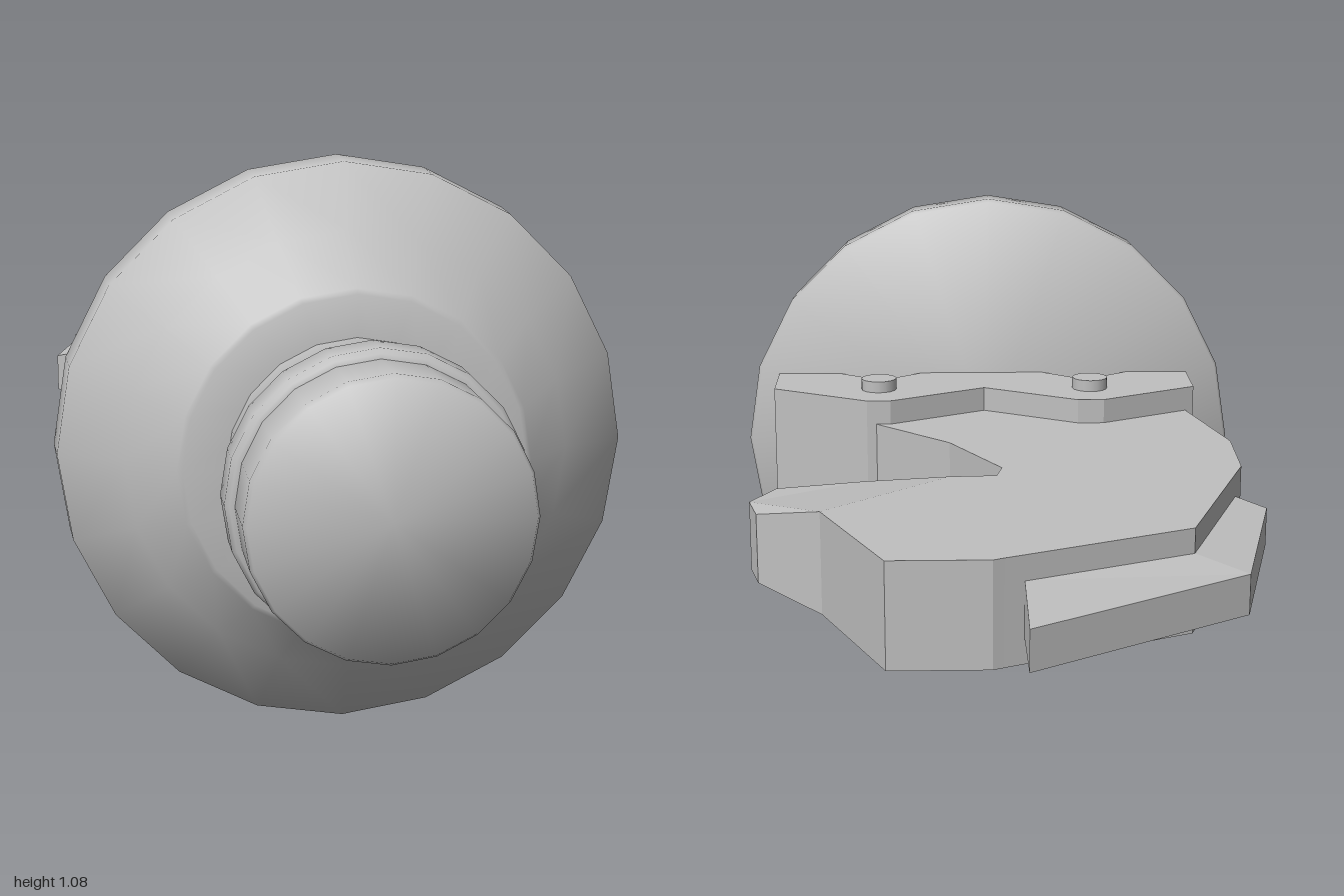
import * as THREE from 'three';
import { toCreasedNormals } from 'three/addons/utils/BufferGeometryUtils.js';

const MID = 0.545; // height of the central axis
const metal = new THREE.MeshStandardMaterial({ color: 0xc0c0c0 });
metal.name = 'grey metal';

// Flat slab from an [x, z] outline; halfAt gives half its thickness at each corner
function slab(name, outline, halfAt, y = MID) {
  const shape = new THREE.Shape(outline.map(([x, z]) => new THREE.Vector2(x, z)));
  const geo = new THREE.ExtrudeGeometry(shape, { depth: 2, bevelEnabled: false });
  geo.translate(0, 0, -1);
  geo.rotateX(Math.PI / 2);
  const p = geo.attributes.position;
  for (let i = 0; i < p.count; i++) {
    p.setY(i, y + p.getY(i) * halfAt(p.getX(i), p.getZ(i)));
  }
  geo.computeVertexNormals();
  const mesh = new THREE.Mesh(geo, metal);
  mesh.name = name;
  return mesh;
}

// Turned part along z from [radius, z] points
function turned(name, profile) {
  const geo = new THREE.LatheGeometry(profile.map(([r, z]) => new THREE.Vector2(r, z)), 20);
  geo.rotateX(Math.PI / 2);
  geo.translate(0, MID, 0);
  const mesh = new THREE.Mesh(toCreasedNormals(geo, 1.2), metal);
  mesh.name = name;
  return mesh;
}

export function createModel() {
  const model = new THREE.Group();
  model.name = 'horseHeadKnob';

  // Round base with a stepped, sloping front
  model.add(turned('flange', [
    [0, 0.345], [0.535, 0.345], [0.541, 0.355], [0.536, 0.45],
    [0.415, 0.512], [0.325, 0.608], [0.315, 0.614], [0.2, 0.614],
  ]));

  // Stem with a raised collar
  model.add(turned('stem', [
    [0.237, 0.6], [0.237, 0.765], [0.246, 0.775], [0.246, 0.99], [0.24, 1.0], [0, 1.0],
  ]));
  model.add(turned('collar', [
    [0.235, 0.77], [0.255, 0.77], [0.263, 0.782], [0.263, 0.855], [0.255, 0.867], [0.235, 0.867],
  ]));

  // Clamp: solid core between two plates with notched rear edges
  const peaks = [
    [-0.445, 0.345], [-0.445, 0.2], [-0.24, 0.085], [-0.185, 0.085], [0.013, 0.2],
    [0.215, 0.085], [0.265, 0.085], [0.47, 0.2], [0.47, 0.345],
  ];
  const notches = [
    [0.335, 0.345], [0.265, 0.295], [0.215, 0.295], [0.15, 0.345],
    [-0.12, 0.345], [-0.185, 0.295], [-0.24, 0.295], [-0.31, 0.345],
  ];
  model.add(slab('clampCore', peaks, () => 0.1));
  for (const s of [1, -1]) {
    model.add(slab('clampPlate', [...peaks, ...notches], () => 0.026, MID + s * 0.125));
  }

  // Bolts through the clamp
  for (const x of [-0.217, 0.242]) {
    const bolt = new THREE.Mesh(new THREE.CylinderGeometry(0.038, 0.038, 0.336, 16), metal);
    bolt.position.set(x, 0.552, 0.195);
    bolt.name = 'bolt';
    model.add(bolt);
  }

  // Neck and head
  model.add(slab('neckAndHead', [
    [-0.4, 0.3], [-0.425, 0.2], [-0.49, -0.07], [-0.485, -0.26], [-0.345, -0.66],
    [0, -0.82], [0.02, -0.83], [0.205, -0.83], [0.33, -0.545], [0.09, -0.32],
    [0, -0.315], [-0.012, -0.26], [0.09, -0.07], [0.25, 0.09], [0.25, 0.3],
  ], () => 0.1));

  // Muzzle, thinner towards the nose and chin
  const brow = [0.33, -0.545], jaw = [0.09, -0.32];
  const isRoot = (x, z) => [brow, jaw].some((p) => Math.hypot(p[0] - x, p[1] - z) < 0.01);
  model.add(slab('muzzle', [
    brow, [0.455, -0.455], [0.475, -0.375], [0.43, -0.285], [0.26, -0.24], jaw,
  ], (x, z) => (isRoot(x, z) ? 0.1 : 0.068)));

  // Mane, tapering to its outer edge
  const outer = [[-0.525, -0.342], [-0.435, -0.735], [-0.035, -1.0]];
  const isOuter = (x, z) => outer.some((p) => Math.hypot(p[0] - x, p[1] - z) < 0.01);
  model.add(slab('mane', [
    ...outer, [-0.035, -0.8], [-0.34, -0.655], [-0.465, -0.308],
  ], (x, z) => (isOuter(x, z) ? 0.038 : 0.053)));

  return model;
}
